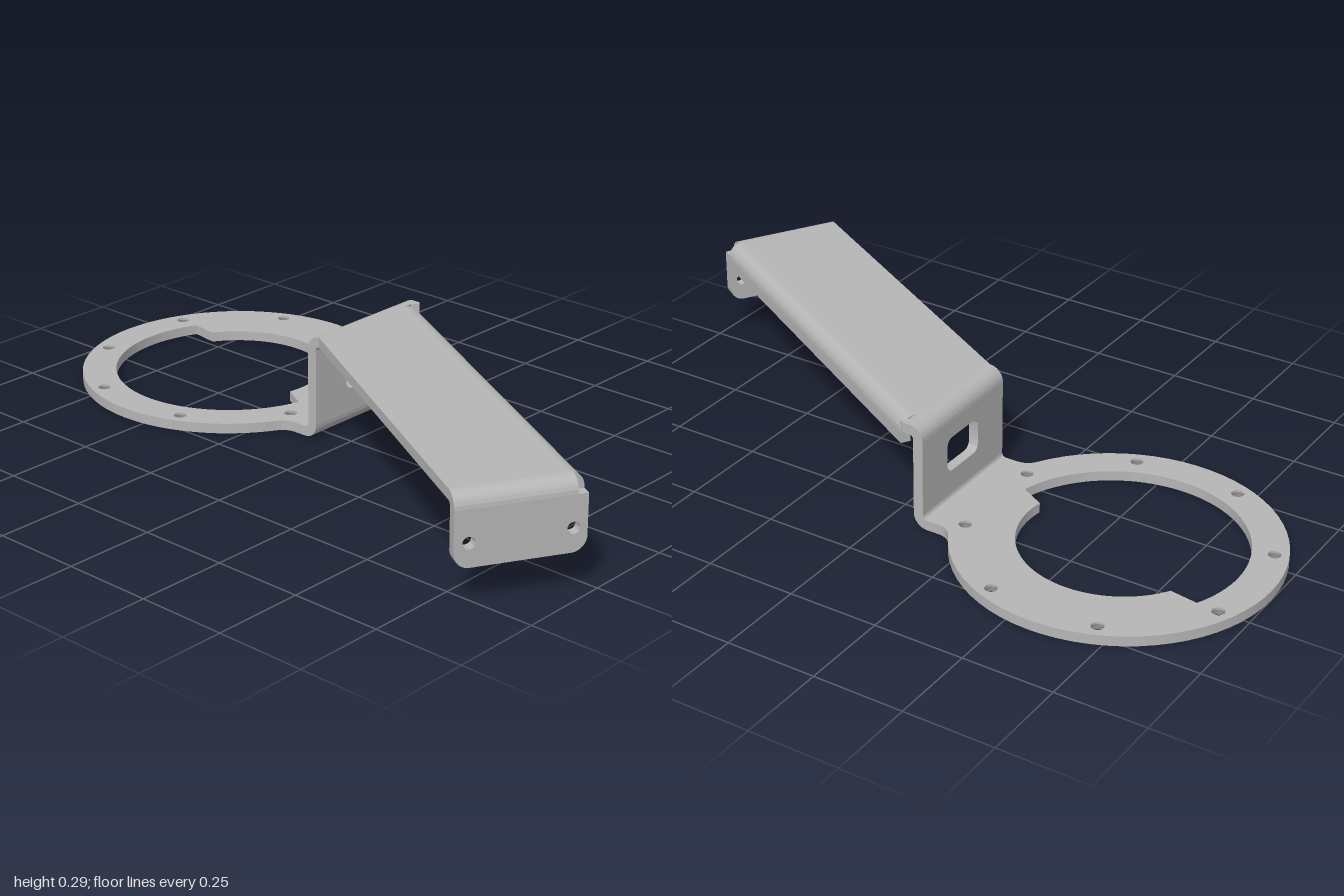
import * as THREE from 'three';
import { toCreasedNormals } from 'three/addons/utils/BufferGeometryUtils.js';

const T = 0.028;          // sheet thickness
const RO = 0.04;          // outer bend radius
const TOP = 0.295;        // top of the arm
const CX = 0.135, CZ = -0.57; // ring centre
const XL = -0.055, XR = 0.325; // sides of the upright web

const steel = new THREE.MeshStandardMaterial({ color: 0xb6b6b6, side: THREE.DoubleSide });
steel.name = 'grey sheet metal';

function extrude(shape, depth) {
  const geo = new THREE.ExtrudeGeometry(shape, { depth, bevelEnabled: false, curveSegments: 28 });
  return toCreasedNormals(geo, 0.5);
}

function add(parent, name, geo, x = 0, y = 0, z = 0) {
  const mesh = new THREE.Mesh(geo, steel);
  mesh.name = name;
  mesh.position.set(x, y, z);
  parent.add(mesh);
  return mesh;
}

function drill(shape, x, y, r) {
  const hole = new THREE.Path();
  hole.absarc(x, y, r, 0, Math.PI * 2, true);
  shape.holes.push(hole);
}

// Rectangle with separate radii for the bottom and top corners
function roundRect(p, x0, y0, x1, y1, rb, rt) {
  p.moveTo(x0 + rb, y0).lineTo(x1 - rb, y0);
  if (rb) p.absarc(x1 - rb, y0 + rb, rb, -Math.PI / 2, 0, false);
  p.lineTo(x1, y1 - rt);
  if (rt) p.absarc(x1 - rt, y1 - rt, rt, 0, Math.PI / 2, false);
  p.lineTo(x0 + rt, y1);
  if (rt) p.absarc(x0 + rt, y1 - rt, rt, Math.PI / 2, Math.PI, false);
  p.lineTo(x0, y0 + rb);
  if (rb) p.absarc(x0 + rb, y0 + rb, rb, Math.PI, Math.PI * 1.5, false);
  return p;
}

// Quarter-round sheet bend, running along +z
function bend(start, length) {
  const s = new THREE.Shape();
  s.absarc(0, 0, RO, start, start + Math.PI / 2, false);
  s.absarc(0, 0, RO - T, start + Math.PI / 2, start, true);
  s.closePath();
  return extrude(s, length);
}

// Flat plate drawn in x and z; its top lies at the mesh's y
const flat = (shape, depth) => extrude(shape, depth).rotateX(Math.PI / 2);

// Ring with its tab and stepped opening
function ringShape(holes, holeRadius) {
  const s = new THREE.Shape();
  const a = 1.04, edge = CZ + 0.42;
  s.moveTo(XL, -0.117).lineTo(XR, -0.117).lineTo(XR, edge);
  s.quadraticCurveTo(XR, -0.184, CX + 0.43 * Math.cos(a), CZ + 0.43 * Math.sin(a));
  s.absarc(CX, CZ, 0.43, a, Math.PI - a, true);
  s.quadraticCurveTo(XL, -0.184, XL, edge);
  s.closePath();
  const opening = new THREE.Path();
  opening.absarc(CX, CZ, 0.335, -1.12, 1.81, true);
  opening.absarc(CX, CZ, 0.26, 1.73, -1.03, true);
  opening.closePath();
  s.holes.push(opening);
  holes.forEach(([x, z]) => drill(s, x, z, holeRadius));
  return s;
}

export function createModel() {
  const model = new THREE.Group();
  model.name = 'bracket';

  // Ring plate with holes countersunk from below
  const ring = new THREE.Group();
  ring.name = 'mountingRing';
  model.add(ring);
  const ringHoles = [];
  for (let i = 0; i < 8; i++) {
    const a = (i + 0.5) * Math.PI / 4;
    ringHoles.push([CX + 0.392 * Math.cos(a), CZ + 0.392 * Math.sin(a)]);
  }
  const lip = 0.006;
  add(ring, 'ringTopLayer', flat(ringShape(ringHoles, 0.017), lip), 0, T, 0);
  add(ring, 'ringLowerLayer', flat(ringShape(ringHoles, 0.027), T - lip), 0, T - lip, 0);
  const sink = new THREE.LatheGeometry(
    [new THREE.Vector2(0.017, T - lip), new THREE.Vector2(0.027, 0)], 24);
  ringHoles.forEach(([x, z]) => add(ring, 'countersink', sink, x, 0, z));

  // Upright web with window, bent at both ends
  const web = new THREE.Shape();
  roundRect(web, XL, RO, XR, TOP - RO, 0, 0);
  web.holes.push(roundRect(new THREE.Path(), 0.065, 0.107, 0.21, 0.205, 0.022, 0.022));
  add(model, 'uprightWeb', extrude(web, T), 0, 0, -0.105);
  add(model, 'lowerBend', bend(-Math.PI / 2, XR - XL), XR, RO, -0.117).rotation.y = -Math.PI / 2;
  add(model, 'upperBend', bend(Math.PI / 2, XR - XL), XR, TOP - RO, -0.065).rotation.y = -Math.PI / 2;

  // Arm frame: x runs across the arm, z runs out to its free end
  const arm = new THREE.Group();
  arm.name = 'armFlanges';
  arm.position.set(-0.57, 0, 0.825);
  arm.rotation.y = -Math.PI / 6;
  model.add(arm);
  const W = 0.335, L = 1.18;
  const c = Math.cos(Math.PI / 6);
  const at = (across, back) => [-0.57 + c * across + 0.5 * back, 0.825 + 0.5 * across - c * back];

  // Flat top of the arm
  const outline = [
    [XL, -0.065], [XR, -0.065], [XR, -0.042], [0.313, -0.032], [0.3, -0.052],
    at(W - RO, L), at(W - RO, RO), at(0, RO)
  ];
  const top = new THREE.Shape(outline.map(([x, z]) => new THREE.Vector2(x, z)));
  [[-0.03, 0.22], [-0.17, 0.47]].forEach(([x, z]) => drill(top, x, z, 0.06));
  [[-0.05, 0.045], [0.115, 0.14], [-0.1, 0.345], [-0.245, 0.375], [-0.08, 0.47],
    [-0.245, 0.595], [-0.435, 0.705], [-0.27, 0.805]].forEach(([x, z]) => drill(top, x, z, 0.015));
  add(model, 'armPlate', flat(top, T), 0, TOP, 0);

  // Long stiffening flange
  const run = L - 0.04, low = 0.222;
  add(arm, 'sideBend', bend(0, run), W - RO, TOP - RO, -L);
  add(arm, 'sideFlange', new THREE.BoxGeometry(T, TOP - RO - low, run),
    W - T / 2, (TOP - RO + low) / 2, -L + run / 2);

  // End flange with two holes
  add(arm, 'endBend', bend(0, 0.305), 0.305, TOP - RO, -RO).rotation.y = -Math.PI / 2;
  const end = roundRect(new THREE.Shape(), 0, 0.107, 0.33, TOP - RO, 0.04, 0);
  [0.037, 0.295].forEach(x => drill(end, x, 0.17, 0.016));
  add(arm, 'endFlange', extrude(end, T), 0, 0, -T);

  return model;
}
